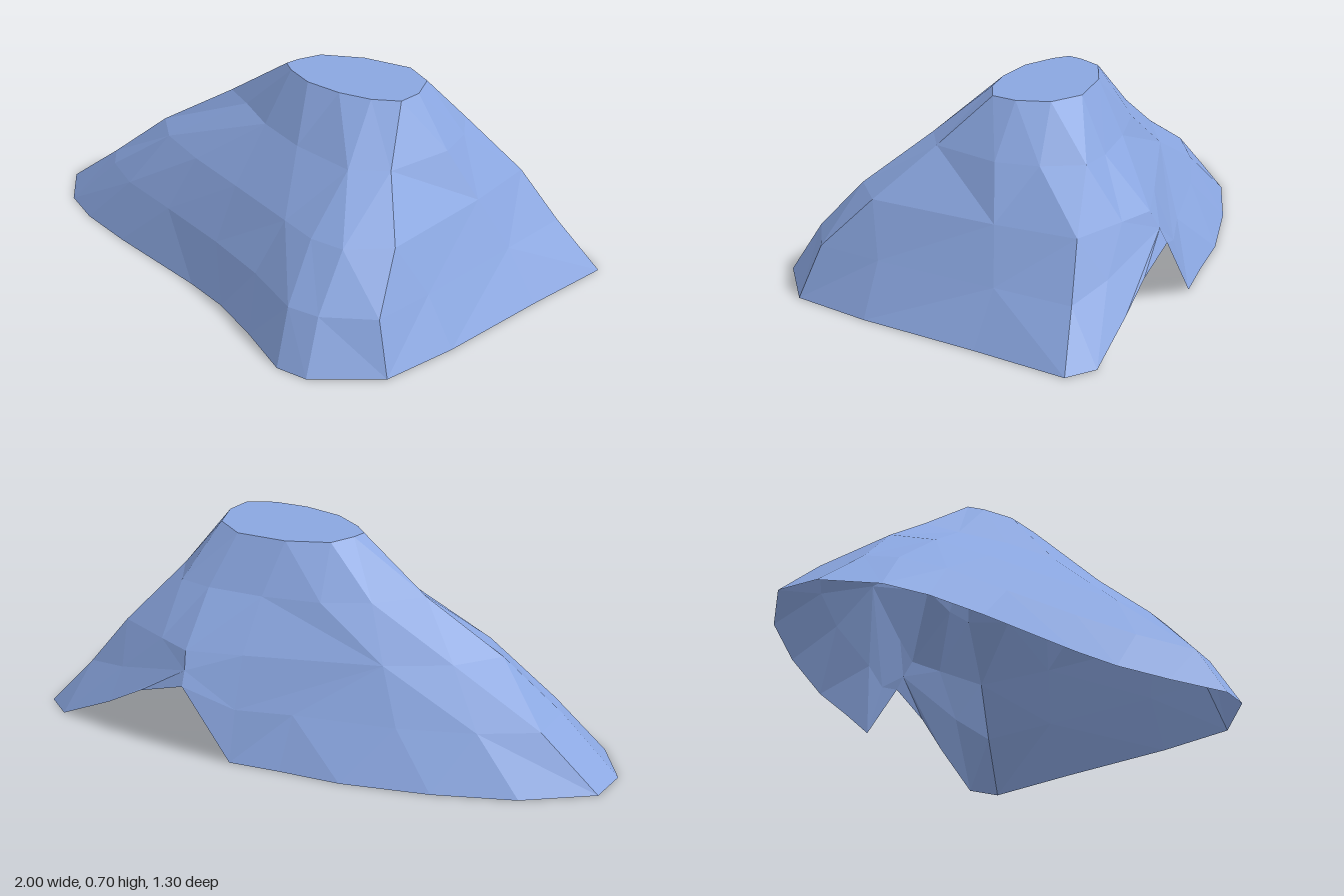
import * as THREE from 'three';

const STEP = 0.175, CX = 0.25, CZ = -0.15;

// Ground outline as [x, z], or [x, z, y] where the back plane cuts the slope
const outline = [
  [-1, -0.2], [-0.79, -0.37], [-0.52, -0.49], [-0.22, -0.585], [0, -0.62], [0.18, -0.655],
  [0.37, -0.655, 0.24], [0.55, -0.655, 0.18], [0.69, -0.655, 0.1], [0.9, -0.655], [1, -0.59],
  [0.95, -0.24], [0.9, 0.2], [0.84, 0.49], [0.63, 0.65], [0.51, 0.65], [0.3, 0.53],
  [0.1, 0.43], [-0.08, 0.37], [-0.5, 0.26], [-0.72, 0.19], [-0.87, 0.11], [-1, -0.05],
];
// Foot of the slope, lifted above the back cut
const foot = [
  [-0.77, -0.03], [-0.78, -0.2], [-0.6, -0.32], [-0.35, -0.43], [0, -0.53], [0.19, -0.6],
  [0.375, -0.63, 0.29], [0.68, -0.585, 0.21], [0.85, -0.54], [0.83, -0.25], [0.8, 0.2],
  [0.77, 0.44], [0.6, 0.545], [0.48, 0.55], [0.25, 0.43], [0, 0.33], [-0.3, 0.23],
  [-0.55, 0.15], [-0.7, 0.06],
];
// Middle of the slope
const waist = [
  [-0.56, -0.07], [-0.45, -0.22], [-0.25, -0.35], [0.2, -0.53], [0.39, -0.6], [0.52, -0.56],
  [0.72, -0.495], [0.73, -0.2], [0.71, 0.27], [0.58, 0.385], [0.45, 0.385], [0.3, 0.33],
  [0, 0.22], [-0.25, 0.13], [-0.45, 0.04],
];
// Shoulder below the summit
const shoulder = [
  [-0.28, -0.115], [-0.15, -0.26], [0, -0.35], [0.2, -0.41], [0.4, -0.44], [0.52, -0.43],
  [0.6, -0.3], [0.63, -0.15], [0.57, 0.1], [0.45, 0.18], [0.2, 0.13], [0, 0.05], [-0.16, -0.05],
];
// Rim of the flat summit
const rim = [
  [-0.01, -0.15], [0.03, -0.235], [0.17, -0.305], [0.35, -0.33], [0.46, -0.27], [0.5, -0.16],
  [0.49, -0.07], [0.4, -0.02], [0.28, 0], [0.14, -0.01], [0.03, -0.06], [-0.02, -0.1],
];

// Bearing of a point around the summit, from 0 at the tail to a full turn
function bearing(p) {
  const angle = Math.atan2(CZ - p.z, CX - p.x);
  return angle < 0 ? angle + Math.PI * 2 : angle;
}

// Stitch two closed contours with triangles, always advancing to the nearer bearing
function stitch(lower, upper) {
  const triangles = [];
  const at = (ring, i) => ring[i % ring.length];
  const turn = (ring, i) => bearing(at(ring, i)) + (i >= ring.length ? Math.PI * 2 : 0);
  let i = 0, j = 0;
  while (i < lower.length || j < upper.length) {
    const a = at(lower, i), b = at(upper, j);
    const useLower = j === upper.length
      || (i < lower.length && turn(lower, i + 1) < turn(upper, j + 1));
    if (useLower) triangles.push(at(lower, ++i), a, b);
    else triangles.push(a, b, at(upper, ++j));
  }
  return triangles;
}

function facetedMesh(name, points, material) {
  const geometry = new THREE.BufferGeometry().setFromPoints(points);
  geometry.computeVertexNormals();
  const mesh = new THREE.Mesh(geometry, material);
  mesh.name = name;
  return mesh;
}

export function createModel() {
  const group = new THREE.Group();
  group.name = 'flatToppedHill';
  const blue = new THREE.MeshStandardMaterial({ color: 0x8aa6e0, side: THREE.DoubleSide, flatShading: true });
  blue.name = 'hillBlue';

  const rings = [outline, foot, waist, shoulder, rim].map((ring, k) => ring
    .map(([x, z, y = k * STEP]) => new THREE.Vector3(x, y, z))
    .sort((p, q) => bearing(p) - bearing(q)));

  // Slopes between neighbouring contours, open underneath and at the back cut
  const slopes = [];
  for (let k = 0; k < rings.length - 1; k++) slopes.push(...stitch(rings[k], rings[k + 1]));
  group.add(facetedMesh('slopes', slopes, blue));

  // Flat summit
  const summit = rings[rings.length - 1];
  const centre = new THREE.Vector3(CX, summit[0].y, CZ);
  const cap = summit.flatMap((p, i) => [centre, summit[(i + 1) % summit.length], p]);
  group.add(facetedMesh('flatTop', cap, blue));
  return group;
}
